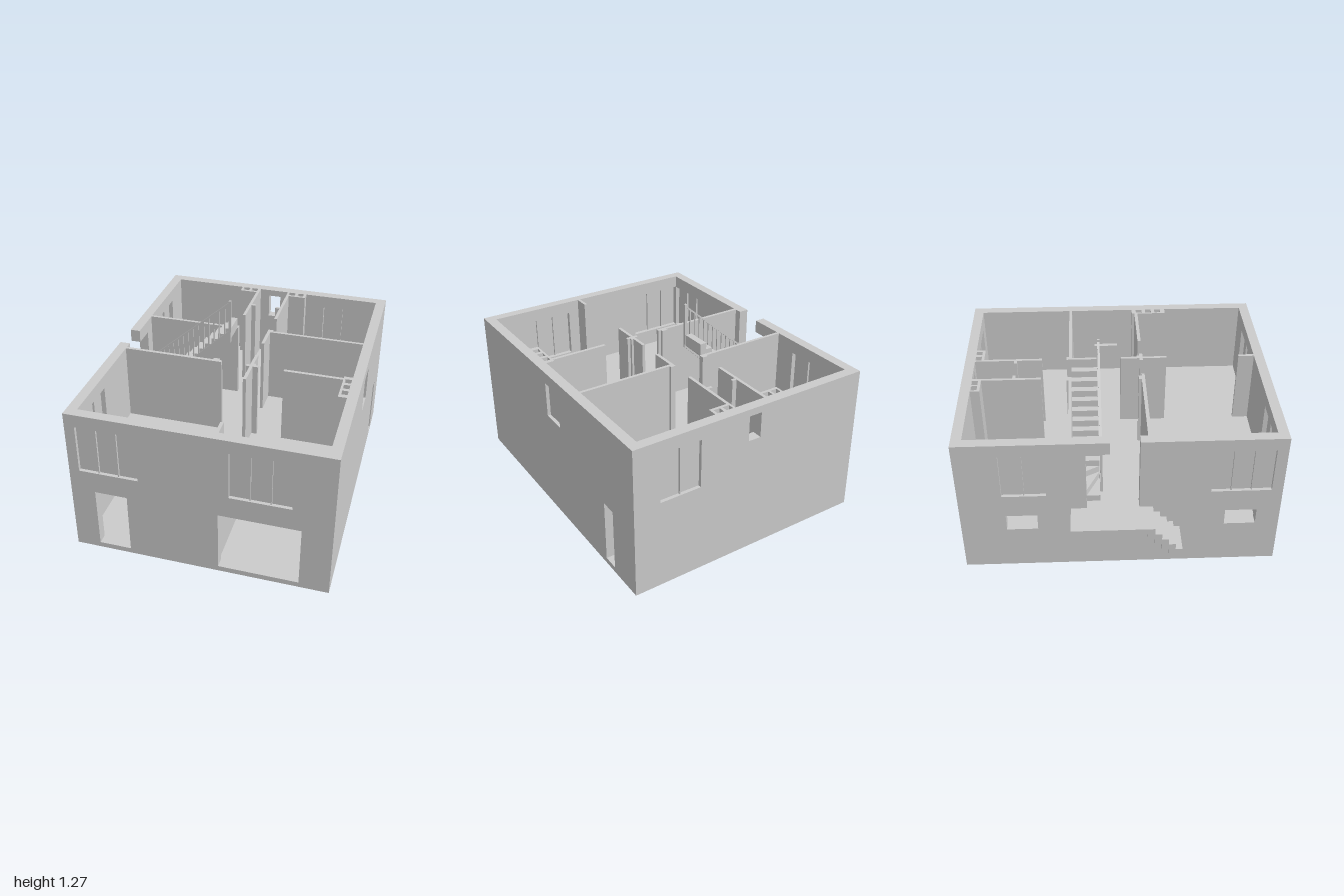
import * as THREE from 'three';

const FLOOR = 0.475, TOP = 0.985;

export function createModel() {
  const house = new THREE.Group();
  house.name = 'house';
  const mat = new THREE.MeshStandardMaterial({ color: 0xcccccc, flatShading: true });

  const add = (name, geo, x = 0, y = 0, z = 0) => {
    const m = new THREE.Mesh(geo, mat);
    m.name = name;
    m.position.set(x, y, z);
    house.add(m);
    return m;
  };
  // box given by its limits
  const box = (name, x0, x1, y0, y1, z0, z1) =>
    add(name, new THREE.BoxGeometry(x1 - x0, y1 - y0, z1 - z0),
      (x0 + x1) / 2, (y0 + y1) / 2, (z0 + z1) / 2);
  const poly = pts => new THREE.Shape(pts.map(p => new THREE.Vector2(...p)));
  const rect = (a, b, c, d) => [[a, c], [b, c], [b, d], [a, d]];
  const extrude = (pts, holes, depth) => {
    const s = poly(pts);
    s.holes = holes.map(h => new THREE.Path(rect(...h).map(p => new THREE.Vector2(...p))));
    return new THREE.ExtrudeGeometry(s, { depth, bevelEnabled: false });
  };

  // outer walls: holes are [start, end, bottom, top]
  const wallX = (name, outline, holes, z0, z1) =>
    add(name, extrude(outline, holes, z1 - z0), 0, 0, z0);
  const wallZ = (name, outline, holes, x0, x1) =>
    add(name, extrude(outline, holes, x1 - x0).rotateY(-Math.PI / 2), x1, 0, 0);

  const frontWindows = [[-0.645, -0.27, 0.585, 0.9], [0.285, 0.66, 0.585, 0.9]];
  const backWindow = [0.465, 0.735, 0.585, 0.9];
  const rightWindow = [-0.13, 0.04, 0.68, 0.91];
  const leftWindows = [[-0.73, -0.457, 0.585, 0.9], [0.555, 0.93, 0.585, 0.9]];

  wallX('frontWall', rect(-0.71, 0.905, 0, TOP),
    [...frontWindows, [-0.555, -0.35, 0.035, 0.44], [0.22, 0.72, 0.035, 0.44]], 0.935, 1);
  wallX('backWall', rect(-0.71, 0.905, 0, TOP),
    [backWindow, [0.05, 0.135, 0.775, 0.94]], -1, -0.935);
  wallZ('rightWall', rect(-0.935, 0.935, 0, TOP),
    [rightWindow, [-0.76, -0.66, 0.035, 0.44]], 0.84, 0.905);
  // entrance gap runs partly under a lintel
  wallZ('leftWall', [[-0.935, 0], [0.935, 0], [0.935, TOP], [0.115, TOP], [0.115, FLOOR],
    [-0.21, FLOOR], [-0.21, 0.9], [-0.065, 0.9], [-0.065, TOP], [-0.935, TOP]],
    [...leftWindows, [-0.716, -0.52, 0.31, 0.425], [0.654, 0.852, 0.31, 0.425]], -0.71, -0.645);

  // recessed window panes with upright bars
  const glaze = (holes, n, axis, outer, inward) => holes.forEach(([a, b, y0, y1]) => {
    const put = (name, s, e, d0, d1) => {
      const p = [outer + inward * d0, outer + inward * d1].sort((u, v) => u - v);
      if (axis === 'x') box(name, s, e, y0, y1, p[0], p[1]);
      else box(name, p[0], p[1], y0, y1, s, e);
    };
    put('windowPane', a, b, 0.022, 0.035);
    for (let i = 1; i < n; i++) {
      const c = a + (b - a) * i / n;
      put('windowBar', c - 0.003, c + 0.003, 0.008, 0.048);
    }
  });
  glaze(frontWindows, 3, 'x', 1, -1);
  glaze([backWindow], 2, 'x', -1, 1);
  glaze([rightWindow], 1, 'z', 0.905, -1);
  glaze([leftWindows[0]], 2, 'z', -0.71, 1);
  glaze([leftWindows[1]], 3, 'z', -0.71, 1);

  // floors
  box('groundFloor', -0.645, 0.84, 0, 0.035, -0.935, 0.935);
  box('upperFloor', -0.645, 0.84, 0.44, FLOOR, -0.935, 0.935);
  box('garagePartition', 0.19, 0.21, 0.035, 0.44, -0.3, 0.935);

  // upper partitions and their door nibs: [x0, x1, z0, z1]
  [
    [-0.645, -0.015, -0.31, -0.29], [-0.055, -0.015, -0.325, -0.31],
    [0.19, 0.84, -0.31, -0.29], [0.19, 0.225, -0.325, -0.31],
    [-0.035, -0.015, -0.875, -0.49], [-0.015, 0.015, -0.675, -0.655],
    [0.19, 0.21, -0.875, -0.49], [0.16, 0.19, -0.675, -0.655],
    [0.19, 0.21, -0.29, -0.125],
    [-0.645, 0.005, 0.163, 0.185], [-0.055, -0.015, 0.145, 0.163],
    [0.19, 0.21, 0.035, 0.345], [0.165, 0.19, 0.163, 0.185],
    [0.21, 0.245, 0.163, 0.185], [0.21, 0.225, 0.145, 0.163],
    [0.41, 0.785, 0.163, 0.185], [0.19, 0.21, 0.83, 0.935],
  ].forEach(([x0, x1, z0, z1]) => box('partition', x0, x1, FLOOR, TOP, z0, z1));

  // extrusion of a plan outline downwards from its top
  const plan = (name, pts, holes, y0, y1) =>
    add(name, extrude(pts, holes, y1 - y0).rotateX(Math.PI / 2), 0, y1, 0);

  // chimney stacks with open flues
  plan('chimney', rect(-0.155, -0.015, -0.94, -0.875),
    [[-0.14, -0.095, -0.933, -0.893], [-0.08, -0.035, -0.933, -0.893]], FLOOR, TOP);
  plan('chimney', rect(0.19, 0.33, -0.94, -0.875),
    [[0.205, 0.25, -0.933, -0.893], [0.27, 0.312, -0.933, -0.893]], FLOOR, TOP);
  plan('chimney', rect(0.785, 0.845, 0.145, 0.385),
    [0.175, 0.242, 0.31].map(z => [0.798, 0.838, z, z + 0.043]), FLOOR, TOP);

  // entrance landing and outside steps
  box('landing', -0.91, -0.71, 0.43, FLOOR, -0.31, 0.2);
  for (let i = 0; i < 4; i++) {
    const y = 0.43 - i * 0.044, z = 0.2 + i * 0.043;
    box('outsideStep', -0.91, -0.71, y - 0.044, y, z - 0.043, z + 0.043);
  }

  // inner staircase: three winders, then ten straight steps
  const riser = 0.045, run = 0.045, sx = -0.47, zBack = -0.29, zFront = -0.125;
  [
    [[-0.645, zFront], [-0.645, -0.21]],
    [[-0.645, -0.21], [-0.645, zBack], [-0.56, zBack]],
    [[-0.56, zBack], [sx, zBack]],
  ].forEach((p, i) =>
    plan('winderStep', [[sx, zFront], ...p], [], FLOOR, FLOOR + riser * (i + 1)));

  const y0 = FLOOR + 3 * riser;
  const flight = [[sx, y0 - 0.04]];
  for (let i = 0; i < 10; i++) {
    const y = y0 + (i + 1) * riser;
    if (i === 0) flight.push([sx, y]);
    else flight.push([sx + i * run, y - riser], [sx + i * run, y]);
  }
  flight.push([-0.02, 1.06], [-0.02, 0.985]);
  wallX('stairFlight', flight, [], zBack, zFront);

  const slope = x => 1.06 + (x + 0.02) * 0.95;
  const rail = x => 1.265 + (x + 0.02) * 0.87;
  wallX('stringer', [[-0.555, slope(-0.555)], [-0.555, FLOOR], [-0.53, FLOOR],
    [-0.02, slope(-0.02) - 0.09], [-0.02, slope(-0.02)]], [], zFront, -0.105);
  wallX('handrail', [[-0.555, rail(-0.555) - 0.014], [-0.015, rail(-0.015) - 0.014],
    [-0.015, rail(-0.015)], [-0.555, rail(-0.555)]], [], -0.122, -0.107);
  for (let i = 0; i < 14; i++) {
    const x = -0.06 - i * 0.0365;
    box('baluster', x - 0.004, x + 0.004, slope(x) - 0.01, rail(x) - 0.008, -0.119, -0.111);
  }
  box('newelPost', -0.03, -0.015, 0.97, 1.27, -0.122, -0.107);
  box('newelPost', -0.56, -0.545, FLOOR, rail(-0.55), -0.122, -0.107);

  return house;
}
